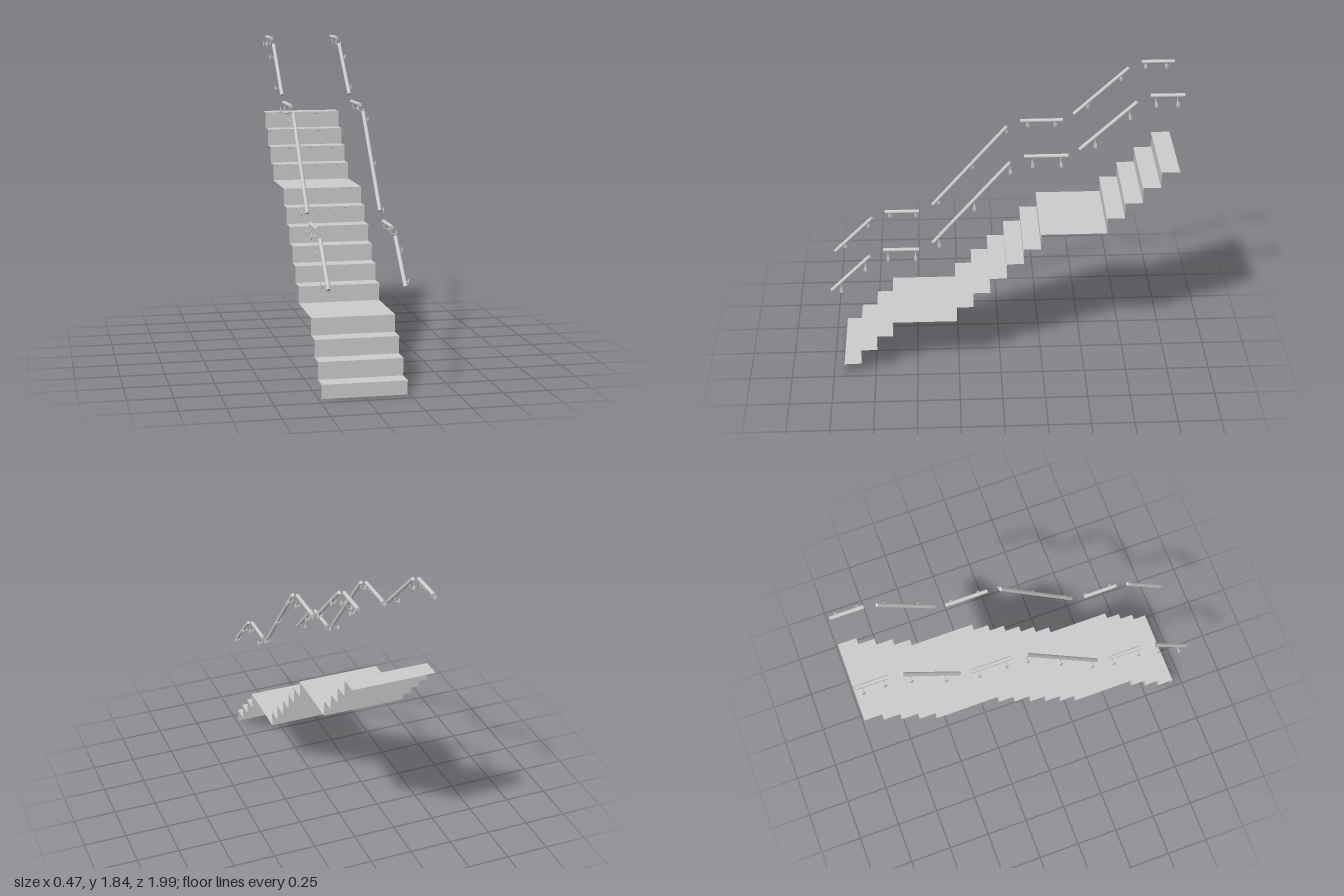
import * as THREE from 'three';

const grey = new THREE.MeshStandardMaterial({ color: 0xcccccc });
const sheet = new THREE.MeshStandardMaterial({ color: 0xcccccc, side: THREE.DoubleSide, flatShading: true });

const HALF_WIDTH = 0.235, RISE = 0.0984, RUN = 0.0975, FIRST_TREAD = 0.08;
const RAIL_X = 0.207, RAIL_R = 0.011, WALL_X = 0.237;

// Flights: z of the first nosing and number of risers
const flights = [[0.935, 4], [0.263, 6], [-0.6, 4]];
const BACK_Z = -1;

// Rails: start [z, y], end [z, y], z of each wall bracket
const rails = [
  [[0.981, 0.599], [0.751, 0.829], [0.925, 0.78]],
  [[0.674, 0.868], [0.47, 0.868], [0.647, 0.49]],
  [[0.387, 0.913], [-0.051, 1.429], [0.353, 0.15, -0.05]],
  [[-0.128, 1.465], [-0.374, 1.465], [-0.174, -0.332]],
  [[-0.436, 1.503], [-0.742, 1.792], [-0.519, -0.703]],
  [[-0.813, 1.828], [-1, 1.828], [-0.842, -0.96]],
];

// Folded sheet of risers, small nosings, treads and landings
function stairs() {
  const profile = [];
  let y = 0, top = FIRST_TREAD;
  for (const [z0, count] of flights) {
    for (let i = 0; i < count; i++) {
      const z = z0 - i * RUN;
      profile.push([z - 0.005, y], [z - 0.005, top - 0.012], [z, top - 0.011], [z, top]);
      y = top;
      top += RISE;
    }
  }
  profile.push([BACK_Z, y]);

  const pos = [];
  for (let i = 0; i < profile.length - 1; i++) {
    const [za, ya] = profile[i], [zb, yb] = profile[i + 1];
    const l = -HALF_WIDTH, r = HALF_WIDTH;
    pos.push(l, ya, za, r, ya, za, r, yb, zb, l, ya, za, r, yb, zb, l, yb, zb);
  }
  const geo = new THREE.BufferGeometry();
  geo.setAttribute('position', new THREE.Float32BufferAttribute(pos, 3));
  geo.computeVertexNormals();
  const mesh = new THREE.Mesh(geo, sheet);
  mesh.name = 'stairs';
  return mesh;
}

// Round bar between two points
function handrail(a, b) {
  const dir = b.clone().sub(a);
  const mesh = new THREE.Mesh(new THREE.CylinderGeometry(RAIL_R, RAIL_R, dir.length(), 20), grey);
  mesh.position.copy(a).add(b).multiplyScalar(0.5);
  mesh.quaternion.setFromUnitVectors(new THREE.Vector3(0, 1, 0), dir.normalize());
  mesh.name = 'handrail';
  return mesh;
}

// Oval wall plate with a bent arm that reaches under the rail
function bracket(side, y, z) {
  const group = new THREE.Group();
  group.name = 'railBracket';
  const plate = new THREE.Mesh(new THREE.CylinderGeometry(1, 1, 0.004, 16), grey);
  plate.scale.set(0.017, 1, 0.01);
  plate.rotation.z = Math.PI / 2;
  plate.position.set(side * (WALL_X - 0.002), -0.042, 0);
  plate.name = 'wallPlate';
  const path = new THREE.CatmullRomCurve3([
    [WALL_X - 0.002, -0.042], [RAIL_X + 0.01, -0.042], [RAIL_X + 0.001, -0.034], [RAIL_X, -0.006],
  ].map(([x, h]) => new THREE.Vector3(side * x, h, 0)));
  const arm = new THREE.Mesh(new THREE.TubeGeometry(path, 12, 0.0035, 8), grey);
  arm.name = 'bracketArm';
  group.add(plate, arm);
  group.position.set(0, y, z);
  return group;
}

export function createModel() {
  const model = new THREE.Group();
  model.name = 'staircase';
  model.add(stairs());
  for (const side of [1, -1]) {
    const group = new THREE.Group();
    group.name = side > 0 ? 'leftRailing' : 'rightRailing';
    for (const [[z0, y0], [z1, y1], brackets] of rails) {
      group.add(handrail(new THREE.Vector3(side * RAIL_X, y0, z0), new THREE.Vector3(side * RAIL_X, y1, z1)));
      for (const z of brackets) {
        group.add(bracket(side, y0 + (y1 - y0) * (z - z0) / (z1 - z0), z));
      }
    }
    model.add(group);
  }
  return model;
}
